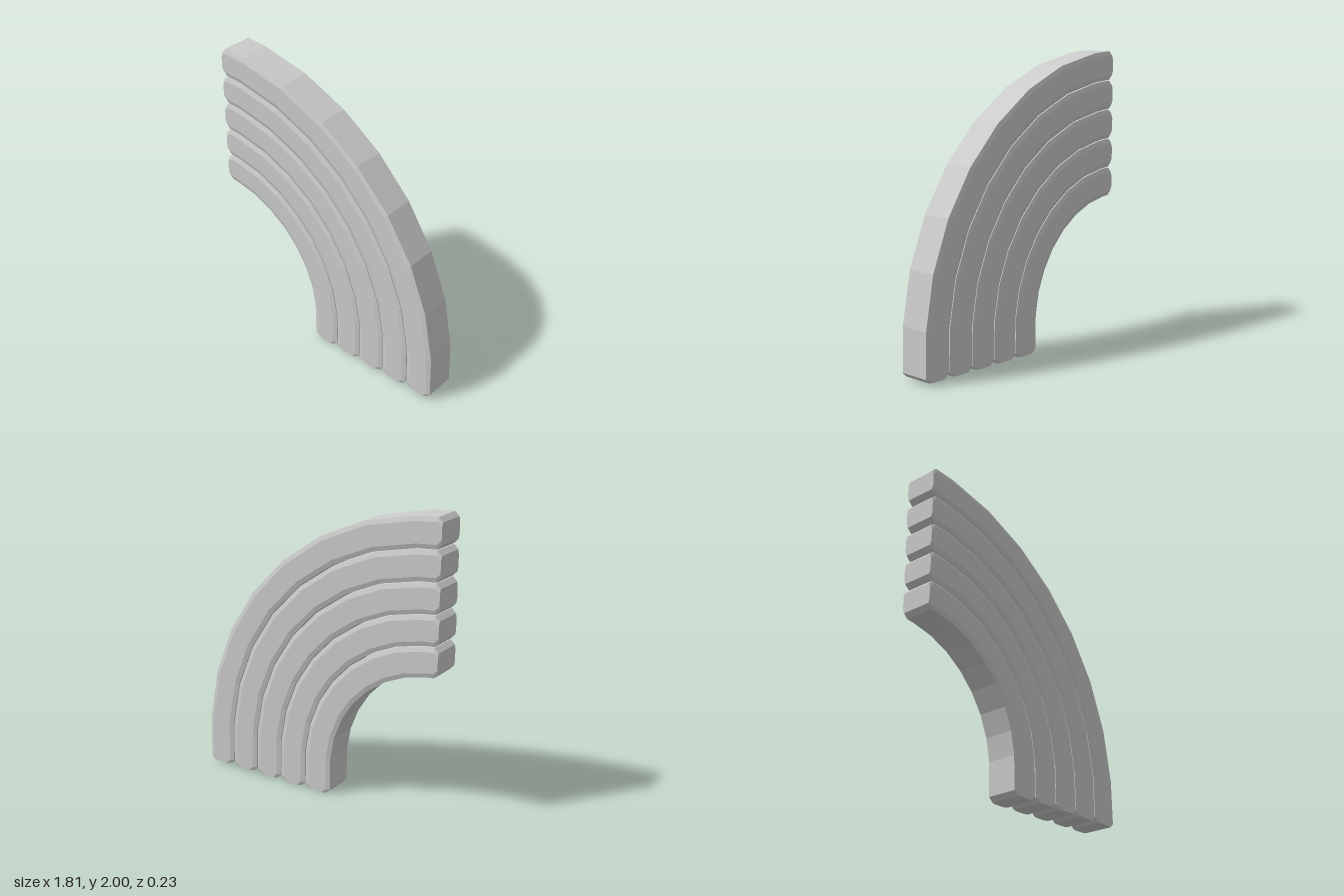
import * as THREE from 'three';

const CX = -0.91, CY = 0.19;      // centre of the curve
const HALF = 0.115;               // half depth
const BEVEL = 0.03, DIP = 0.01;   // bevel width on the face, bevel depth

// Bevelled plank section as [radius, z], narrowed by inset at the plank ends
function section(r0, r1, inset) {
  const a = r0 + inset, b = r1 - inset, e = HALF - DIP;
  return [
    [b, -e], [b, e], [b - BEVEL, HALF], [a + BEVEL, HALF],
    [a, e], [a, -e], [a + BEVEL, -HALF], [b - BEVEL, -HALF],
  ];
}

// Curved plank: a short straight foot, a faceted quarter turn, a chamfered top end
function plankGeometry(r0, r1, footY) {
  const full = section(r0, r1, 0), narrow = section(r0, r1, BEVEL);
  const rings = [
    narrow.map(([r, z]) => [CX + r, footY, z]),
    full.map(([r, z]) => [CX + r, footY + BEVEL, z]),
  ];
  const segments = 7;
  for (let i = 0; i <= segments; i++) {
    const t = THREE.MathUtils.degToRad(5 + (79 * i) / segments);
    rings.push(full.map(([r, z]) => [CX + r * Math.cos(t), CY + r * Math.sin(t), z]));
  }
  rings.push(full.map(([r, z]) => [CX + BEVEL, CY + r, z]));
  rings.push(narrow.map(([r, z]) => [CX, CY + r, z]));

  const n = full.length, index = [];
  for (let s = 0; s < rings.length - 1; s++) {
    for (let i = 0; i < n; i++) {
      const a = s * n + i, b = s * n + ((i + 1) % n), c = b + n, d = a + n;
      index.push(a, d, c, a, c, b);
    }
  }
  // End caps
  const last = (rings.length - 1) * n;
  for (let i = 1; i < n - 1; i++) {
    index.push(0, i, i + 1, last, last + i + 1, last + i);
  }
  const indexed = new THREE.BufferGeometry();
  indexed.setAttribute('position', new THREE.Float32BufferAttribute(rings.flat(2), 3));
  indexed.setIndex(index);
  const geometry = indexed.toNonIndexed();
  geometry.computeVertexNormals();
  return geometry;
}

export function createModel() {
  const group = new THREE.Group();
  group.name = 'curvedPlankFloor';
  const material = new THREE.MeshStandardMaterial({ color: 0xcccccc, flatShading: true });

  // Five concentric planks, the outer feet ending slightly higher
  const count = 5, inner = 0.793, width = 0.204, gap = 0.003;
  for (let i = 0; i < count; i++) {
    const r0 = inner + i * width;
    const plank = new THREE.Mesh(plankGeometry(r0 + gap, r0 + width - gap, i * 0.004), material);
    plank.name = `plank${i + 1}`;
    group.add(plank);
  }
  return group;
}
